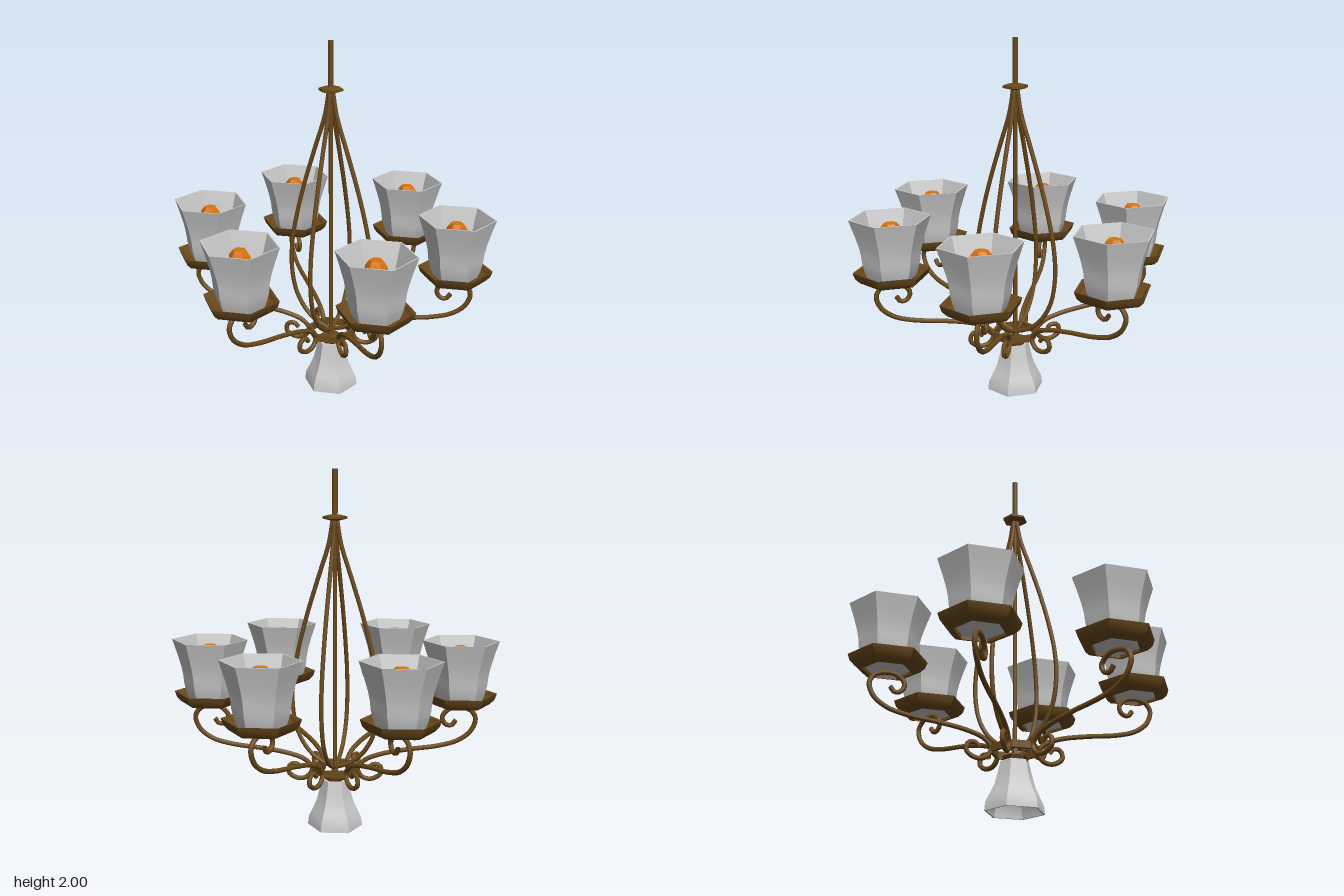
import * as THREE from 'three';
import { toCreasedNormals } from 'three/addons/utils/BufferGeometryUtils.js';

const bronze = new THREE.MeshStandardMaterial({ color: 0x6b4a1c, side: THREE.DoubleSide });
const glass = new THREE.MeshStandardMaterial({ color: 0xcccccc, side: THREE.DoubleSide });
const amber = new THREE.MeshStandardMaterial({ color: 0xd9740c, side: THREE.DoubleSide });

function mesh(name, geometry, material) {
  const m = new THREE.Mesh(geometry, material);
  m.name = name;
  return m;
}

// Six-sided turned part, corners towards +-z, slightly longer in z
function hexTurned(name, profile, material, stretch = 1.07) {
  const g = new THREE.LatheGeometry(profile.map(([r, y]) => new THREE.Vector2(r, y)), 6);
  g.scale(1, 1, stretch);
  return mesh(name, toCreasedNormals(g, 0.65), material);
}

// Round bar bent through [radius, height] points in a vertical plane
function bentBar(name, points, thickness, segments) {
  const curve = new THREE.CatmullRomCurve3(points.map(([r, y]) => new THREE.Vector3(r, y, 0)), false, 'centripetal');
  const g = new THREE.TubeGeometry(curve, segments, thickness, 8, false);
  return mesh(name, g, bronze);
}

// Lamp at the end of an arm: dish, glass shade and bulb
function createLamp() {
  const lamp = new THREE.Group();
  lamp.name = 'lamp';
  lamp.add(hexTurned('dish', [
    [0.125, 0.703], [0.165, 0.715], [0.19, 0.74], [0.202, 0.775],
    [0.19, 0.772], [0.175, 0.75], [0.125, 0.735], [0.125, 0.703],
  ], bronze, 1.05));
  lamp.add(hexTurned('shade', [
    [0, 0.715], [0.115, 0.715], [0.135, 0.77], [0.147, 0.82], [0.152, 0.87], [0.162, 0.92],
    [0.182, 0.99], [0.208, 1.07], [0.2, 1.07], [0.174, 0.99], [0.153, 0.92],
    [0.142, 0.87], [0.137, 0.82], [0.125, 0.77], [0.09, 0.735], [0, 0.735],
  ], glass));
  lamp.add(hexTurned('bulb', [
    [0.03, 0.735], [0.03, 0.86], [0.05, 0.92], [0.06, 0.97], [0.055, 1.01], [0.034, 1.04], [0, 1.04],
  ], amber));
  return lamp;
}

export function createModel() {
  const model = new THREE.Group();
  model.name = 'chandelier';

  // Six scrolled arms, each carrying a lamp
  const armPath = [
    [0.675, 0.62], [0.65, 0.59], [0.615, 0.6], [0.6, 0.64], [0.64, 0.685], [0.7, 0.695],
    [0.76, 0.675], [0.785, 0.63], [0.76, 0.56], [0.69, 0.505], [0.58, 0.472], [0.4, 0.447],
    [0.26, 0.42], [0.17, 0.385], [0.128, 0.335], [0.155, 0.285], [0.21, 0.275], [0.262, 0.31],
    [0.25, 0.355], [0.21, 0.357], [0.193, 0.335],
  ];
  for (let i = 0; i < 6; i++) {
    const angle = Math.PI / 6 + (i * Math.PI) / 3;
    const arm = bentBar('arm', armPath, 0.0135, 90);
    arm.rotation.y = angle;
    const lamp = createLamp();
    lamp.position.set(0.695 * Math.cos(angle), 0, -0.695 * Math.sin(angle));
    model.add(arm, lamp);
  }

  // Four bowed rods forming the cage, on the diagonals
  const cagePath = [
    [0.012, 1.73], [0.035, 1.6], [0.1, 1.4], [0.163, 1.2], [0.215, 1.0], [0.243, 0.85],
    [0.25, 0.7], [0.225, 0.55], [0.165, 0.44], [0.09, 0.375], [0.015, 0.345],
  ];
  for (let i = 0; i < 4; i++) {
    const rod = bentBar('cageRod', cagePath, 0.0125, 48);
    rod.rotation.y = Math.PI / 4 + (i * Math.PI) / 2;
    model.add(rod);
  }

  // Central stem, hanging pole and collar
  const stem = mesh('centreStem', new THREE.CylinderGeometry(0.012, 0.012, 1.48, 8), bronze);
  stem.position.y = 1.0;
  const pole = mesh('hangingPole', new THREE.CylinderGeometry(0.016, 0.016, 0.3, 8), bronze);
  pole.position.y = 1.85;
  model.add(stem, pole);
  model.add(hexTurned('collar', [
    [0, 1.72], [0.03, 1.727], [0.066, 1.736], [0.066, 1.748], [0.03, 1.757], [0, 1.76],
  ], bronze));

  // Ring that ties the arms together
  model.add(hexTurned('armRing', [
    [0.115, 0.313], [0.133, 0.313], [0.133, 0.353], [0.115, 0.353], [0.115, 0.313],
  ], bronze));

  // Cap, downward shade and its bulb
  model.add(hexTurned('lowerCap', [
    [0, 0.26], [0.05, 0.26], [0.067, 0.295], [0.06, 0.302], [0.02, 0.31], [0.015, 0.35], [0, 0.35],
  ], bronze));
  model.add(hexTurned('lowerShade', [
    [0.142, 0], [0.152, 0], [0.147, 0.045], [0.127, 0.09], [0.104, 0.14], [0.088, 0.2], [0.073, 0.27],
    [0, 0.27], [0, 0.26], [0.064, 0.26], [0.079, 0.2], [0.095, 0.14], [0.118, 0.09], [0.138, 0.045], [0.142, 0],
  ], glass));
  model.add(hexTurned('lowerBulb', [
    [0, 0.07], [0.022, 0.07], [0.036, 0.095], [0.036, 0.13], [0.02, 0.19], [0.02, 0.26],
  ], amber));

  return model;
}
